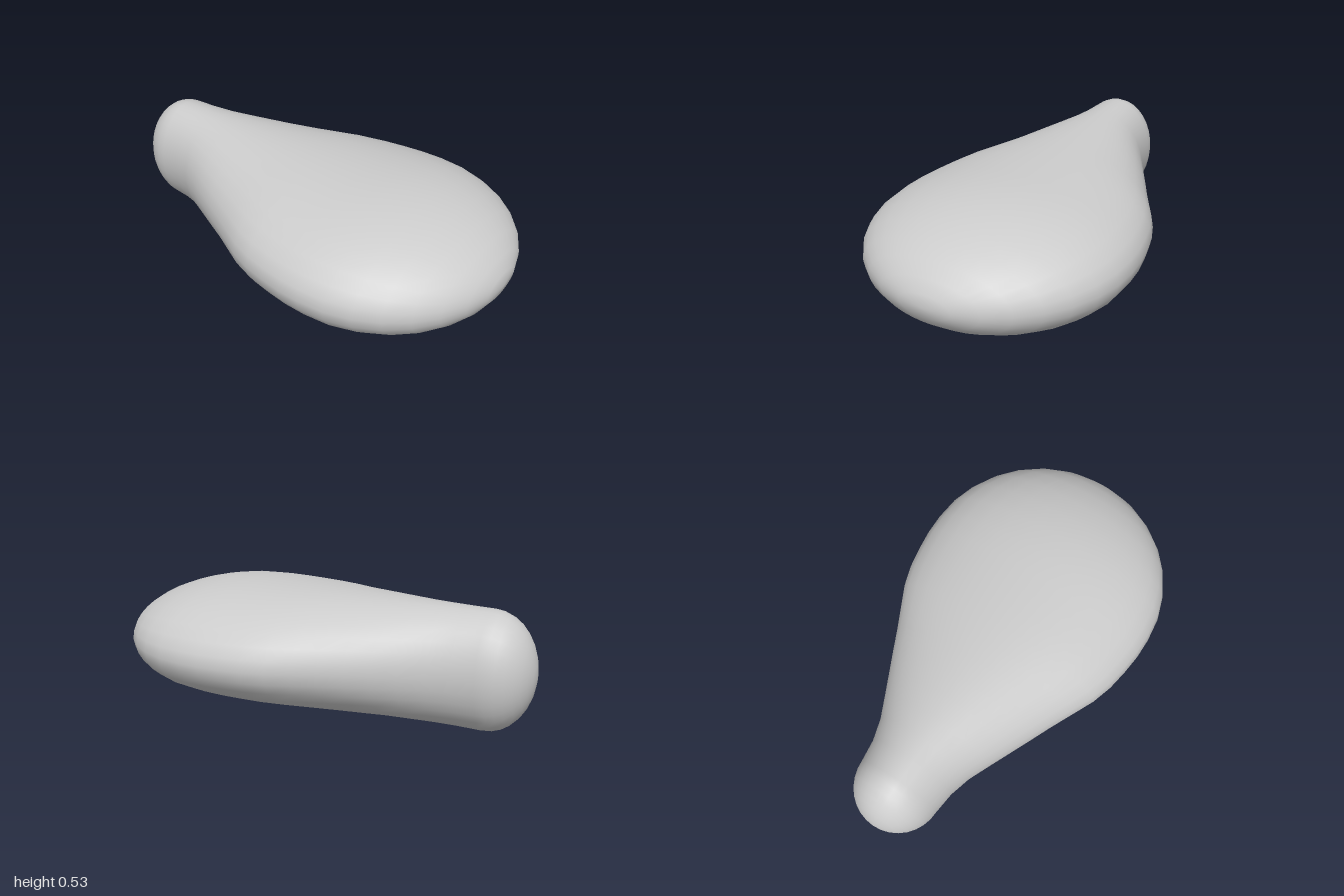
import * as THREE from 'three';
import { mergeVertices } from 'three/addons/utils/BufferGeometryUtils.js';

const HALF_HEIGHT = 0.267;
const SIDES = 32;
const CAP_STEPS = 8;

// Sections as [z, half width, half height], from the narrow tip to the round end
function bodySections() {
  const sections = [];
  // rounded narrow tip
  for (let i = 0; i < CAP_STEPS; i++) {
    const a = (i / CAP_STEPS) * Math.PI / 2;
    sections.push([-0.8 - 0.2 * Math.cos(a), 0.197 * Math.sin(a), HALF_HEIGHT * Math.sin(a)]);
  }
  // neck flaring into the belly
  const flare = [
    [-0.8, 0.197], [-0.7, 0.21], [-0.6, 0.24], [-0.5, 0.287], [-0.4, 0.335], [-0.3, 0.383],
    [-0.2, 0.43], [-0.1, 0.48], [0, 0.53], [0.1, 0.563], [0.2, 0.582], [0.3, 0.595],
  ];
  flare.forEach(([z, w]) => sections.push([z, w, HALF_HEIGHT]));
  // wide rounded end
  for (let i = 0; i <= CAP_STEPS; i++) {
    const a = (i / CAP_STEPS) * Math.PI / 2;
    const c = i === CAP_STEPS ? 0 : Math.cos(a);
    sections.push([0.4 + 0.6 * Math.sin(a), 0.597 * c, HALF_HEIGHT * c]);
  }
  return sections;
}

export function createModel() {
  const group = new THREE.Group();
  const sections = bodySections();

  // Turn the outline, then squash each ring to its own elliptical height
  const lathe = new THREE.LatheGeometry(sections.map(([z, w]) => new THREE.Vector2(w, z)), SIDES);
  lathe.rotateX(Math.PI / 2);
  const pos = lathe.attributes.position;
  for (let i = 0; i < pos.count; i++) {
    const [, w, h] = sections[i % sections.length];
    pos.setY(i, w > 1e-6 ? pos.getY(i) * h / w : 0);
  }

  // Weld the seam and tips for smooth shading
  lathe.deleteAttribute('uv');
  lathe.deleteAttribute('normal');
  const geometry = mergeVertices(lathe, 1e-5);
  geometry.computeVertexNormals();

  const body = new THREE.Mesh(geometry, new THREE.MeshStandardMaterial({ color: 0xcccccc }));
  body.name = 'pearShapedBody';
  body.position.y = 0.27;
  group.add(body);
  return group;
}
